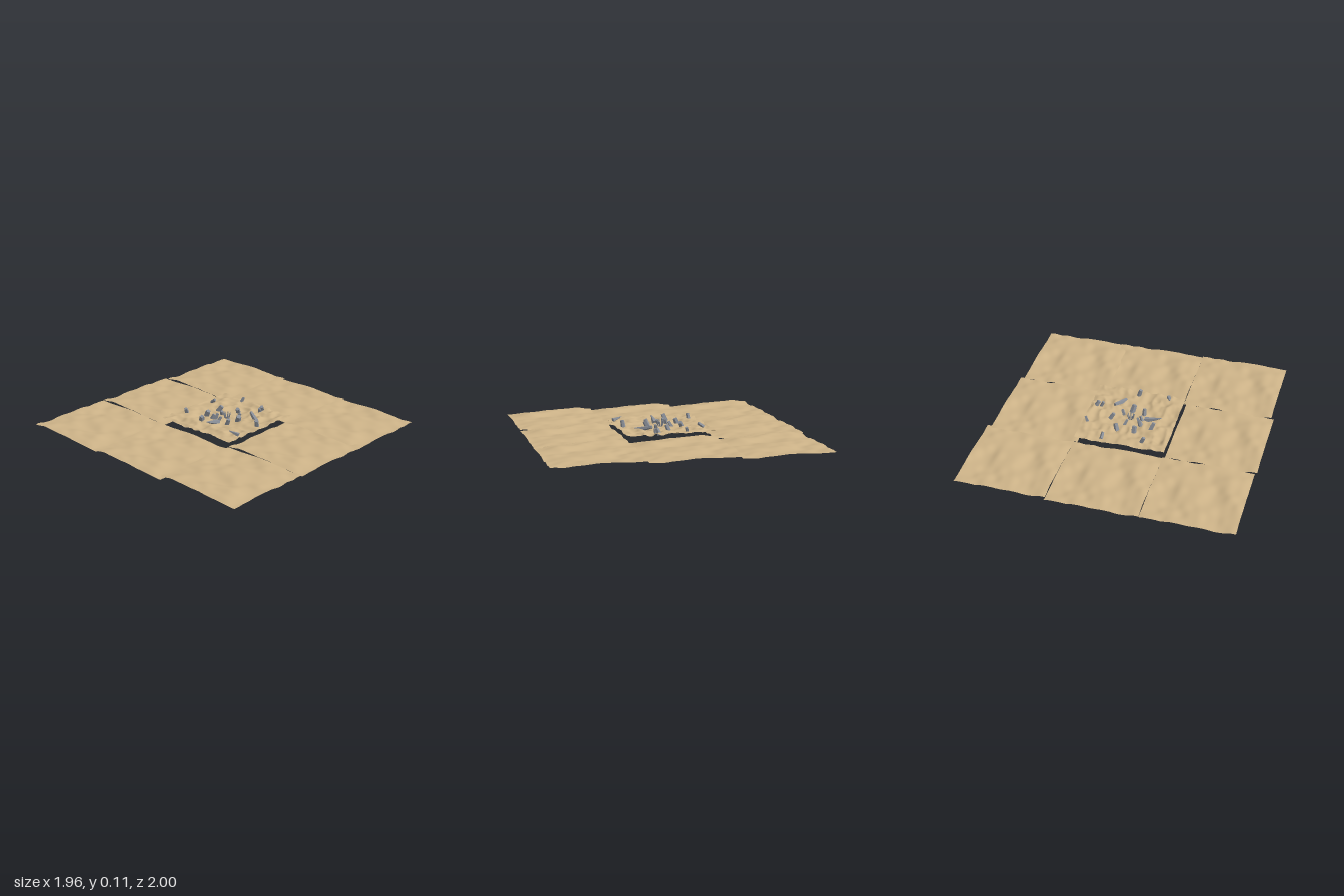
import * as THREE from 'three';

const sand = new THREE.MeshStandardMaterial({ color: 0xcdb388, side: THREE.DoubleSide });
const stone = new THREE.MeshStandardMaterial({ color: 0x8b9099, flatShading: true });

// Smooth value noise in the range -1..1
function hash(i, j) {
  const s = Math.sin(i * 127.1 + j * 311.7) * 43758.5453;
  return (s - Math.floor(s)) * 2 - 1;
}
function noise(x, z) {
  const i = Math.floor(x), j = Math.floor(z);
  const ease = t => t * t * (3 - 2 * t);
  const a = ease(x - i), b = ease(z - j);
  const mix = THREE.MathUtils.lerp;
  return mix(mix(hash(i, j), hash(i + 1, j), a), mix(hash(i, j + 1), hash(i + 1, j + 1), a), b);
}

// Rolling dunes, the same relief on every outer tile
function duneHeight(x, z) {
  const bump = 0.014 * Math.exp(-((x - 0.175) ** 2 + (z - 0.17) ** 2) / 0.006);
  const h = 0.039 + 0.014 * noise(x * 6 + 20, z * 9 + 7) + 0.007 * noise(x * 13 + 3, z * 17 + 31) + bump;
  return THREE.MathUtils.clamp(h, 0.003, 0.074);
}

// Rippled, slightly sunken patch in the middle
function patchHeight(x, z) {
  const bowl = 0.012 * Math.exp(-(x * x + z * z) / 0.04);
  const ridge = 0.5 - Math.abs(noise(x * 13 + 5, z * 15 + 9));
  return 0.077 - bowl + 0.018 * ridge + 0.006 * noise(x * 28, z * 30);
}

function sheet(name, x, z, size, segments, height) {
  const geo = new THREE.PlaneGeometry(size, size, segments, segments).rotateX(-Math.PI / 2);
  const p = geo.attributes.position;
  for (let i = 0; i < p.count; i++) p.setY(i, height(p.getX(i), p.getZ(i)));
  geo.computeVertexNormals();
  const mesh = new THREE.Mesh(geo, sand);
  mesh.name = name;
  mesh.position.set(x, 0, z);
  return mesh;
}

// Tapered faceted rock; lean tips it towards the heading (0 = +z)
function rock(name, x, z, length, radius, lean, heading, tip = 0.75, sides = 5) {
  const geo = new THREE.CylinderGeometry(radius * tip, radius, length, sides);
  const mesh = new THREE.Mesh(geo, stone);
  mesh.name = name;
  mesh.position.set(x, patchHeight(x, z) + 0.013, z);
  mesh.rotation.set(lean, heading, 0, 'YXZ');
  return mesh;
}

export function createModel() {
  const model = new THREE.Group();

  // Eight outer tiles, slightly misaligned
  const tiles = [
    [-0.63, -0.67], [0, -0.636], [0.647, -0.606],
    [-0.652, -0.01], [0.647, -0.01],
    [-0.652, 0.65], [0, 0.667], [0.647, 0.65],
  ];
  tiles.forEach(([x, z], i) => model.add(sheet(`duneTile${i + 1}`, x, z, 0.66, 40, duneHeight)));
  model.add(sheet('rockyPatch', 0, 0, 0.66, 72, patchHeight));

  // Short leaning stones: x, z, length, radius, lean, heading
  const stones = [
    [-0.12, -0.30, 0.04, 0.013, 0.5, 2.6], [0.09, -0.28, 0.05, 0.018, 0.6, 0.6],
    [0.10, -0.245, 0.04, 0.013, 0.4, 0.3], [-0.27, -0.14, 0.05, 0.014, 0.9, 1.5],
    [-0.14, -0.07, 0.06, 0.021, 0.6, 2.2], [-0.02, -0.14, 0.06, 0.018, 0.6, 0.5],
    [0.05, -0.07, 0.05, 0.014, 0.5, 2.5], [0.10, -0.01, 0.07, 0.023, 0.5, 1.1],
    [0.28, -0.01, 0.07, 0.018, 0.3, 0.4], [-0.07, -0.02, 0.05, 0.015, 0.6, 0.8],
    [-0.14, 0.06, 0.06, 0.022, 0.4, 1.5], [-0.06, 0.085, 0.05, 0.018, 0.5, 2.4],
    [-0.04, 0.07, 0.06, 0.015, 0.4, 2.8], [0, 0.08, 0.045, 0.013, 0.6, 2.5],
    [0.08, 0.08, 0.06, 0.018, 0.4, 1.6], [-0.08, 0.18, 0.06, 0.021, 0.5, 0.8],
    [-0.26, 0.155, 0.05, 0.016, 0.4, 0.2],
  ];
  stones.forEach((s, i) => model.add(rock(`stone${i + 1}`, ...s, 0.8, 4 + (i % 3))));

  // Long pointed shards lying on the sand
  model.add(rock('longShard', 0.155, -0.12, 0.13, 0.02, 1.35, -2.07, 0.6));
  model.add(rock('pointedShard', 0.01, 0.165, 0.125, 0.024, 1.25, 0, 0.12));
  model.add(rock('smallShard', 0.27, 0.22, 0.075, 0.017, 1.3, -1.25, 0.15));

  // Ring of thin slivers at the centre
  const cluster = new THREE.Group();
  cluster.name = 'centreCluster';
  for (let i = 0; i < 7; i++) {
    const a = i * Math.PI * 2 / 7;
    cluster.add(rock('sliver', 0.018 * Math.sin(a), 0.018 * Math.cos(a), 0.06, 0.006, 0.3, a, 0.5, 4));
  }
  model.add(cluster);
  return model;
}
